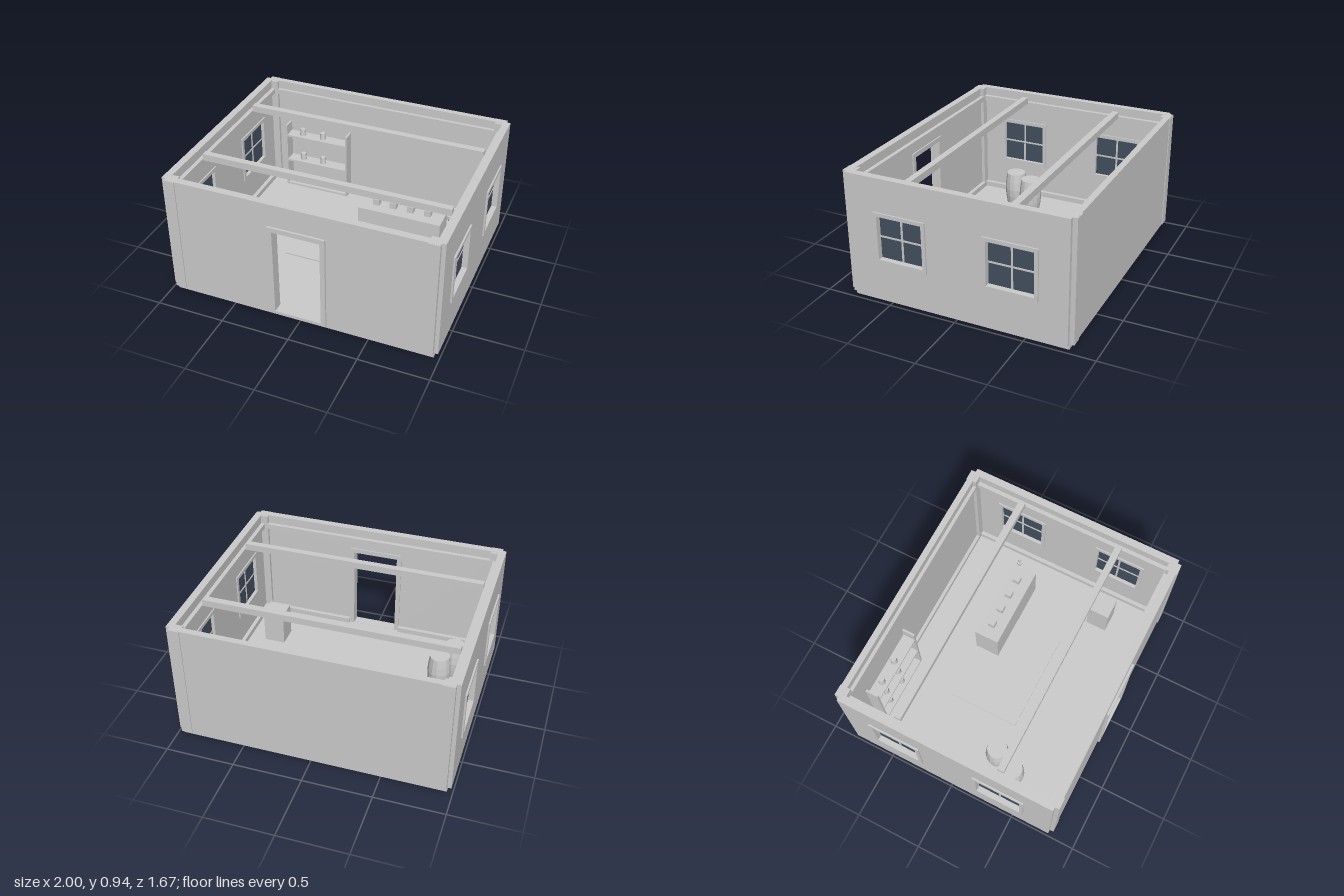
import * as THREE from 'three';

export function createModel() {
  const root = new THREE.Group();
  const plaster = new THREE.MeshStandardMaterial({ color: 0xcccccc });
  plaster.name = 'pale grey';
  const glass = new THREE.MeshStandardMaterial({ color: 0x445060 });
  glass.name = 'dark blue glass';

  const add = (name, geo, parent = root, mat = plaster) => {
    const mesh = new THREE.Mesh(geo, mat);
    mesh.name = name;
    parent.add(mesh);
    return mesh;
  };
  // box given by its limits on each axis
  const box = (name, x0, x1, y0, y1, z0, z1, parent, mat) => {
    const mesh = add(name, new THREE.BoxGeometry(x1 - x0, y1 - y0, z1 - z0), parent, mat);
    mesh.position.set((x0 + x1) / 2, (y0 + y1) / 2, (z0 + z1) / 2);
    return mesh;
  };
  const B = 0.04, T = 0.935, FLOOR = 0.06;

  // foundation and inner floor
  box('foundation', -0.96, 0.96, 0, B, -0.803, 0.795);
  box('floor', -0.935, 0.935, B, FLOOR, -0.785, 0.765);
  box('floorMat', -0.385, 0.38, FLOOR, 0.07, -0.33, 0.215);

  // back and front walls, with the doorway
  box('backWall', -0.96, 0.96, B, T, -0.83, -0.785);
  box('frontWallRight', -0.96, -0.17, B, T, 0.765, 0.818);
  box('frontWallLeft', 0.17, 0.96, B, T, 0.765, 0.818);
  box('doorHeaderWall', -0.17, 0.17, 0.73, T, 0.765, 0.818);
  box('doorLintel', -0.205, 0.205, 0.73, 0.765, 0.755, 0.834);
  box('doorThreshold', -0.205, 0.205, B, 0.062, 0.755, 0.834);
  for (const s of [-1, 1])
    box('doorJamb', s * 0.1875 - 0.0175, s * 0.1875 + 0.0175, 0.062, 0.73, 0.755, 0.834);

  // side walls built from panels around the windows
  const windows = [[-0.573, -0.238], [0.227, 0.562]];
  const y0 = 0.342, y1 = 0.663, m = 0.027;
  for (const s of [-1, 1]) {
    const side = new THREE.Group();
    side.name = s > 0 ? 'leftWall' : 'rightWall';
    root.add(side);
    // s mirrors the x limits
    const sb = (name, xa, xb, ya, yb, za, zb, mat) =>
      box(name, Math.min(s * xa, s * xb), Math.max(s * xa, s * xb), ya, yb, za, zb, side, mat);
    for (const [a, b] of [[-0.803, -0.573], [-0.238, 0.227], [0.562, 0.795]])
      sb('wallPanel', 0.935, 0.988, B, T, a, b);
    for (const [a, b] of windows) {
      const c = (a + b) / 2, mid = (y0 + y1) / 2;
      sb('panelBelowWindow', 0.935, 0.988, B, y0, a, b);
      sb('panelAboveWindow', 0.935, 0.988, y1, T, a, b);
      sb('windowPane', 0.951, 0.959, y0, y1, a, b, glass);
      sb('windowMullion', 0.946, 0.964, y0, y1, c - 0.007, c + 0.007);
      sb('windowCrossbar', 0.946, 0.964, mid - 0.006, mid + 0.006, a, b);
      sb('windowSill', 0.925, 1, y0 - m, y0, a - m, b + m);
      sb('windowHead', 0.925, 1, y1, y1 + m, a - m, b + m);
      sb('windowSideTrim', 0.925, 1, y0, y1, a - m, a);
      sb('windowSideTrim', 0.925, 1, y0, y1, b, b + m);
    }
    // corner posts
    sb('backCornerPost', 0.88, 0.96, B, T - 0.002, -0.836, -0.76);
    sb('frontCornerPost', 0.88, 0.96, B, T - 0.002, 0.74, 0.825);
    // wall plate and skirting along the side
    sb('sideWallPlate', 0.905, 0.935, 0.83, 0.87, -0.785, 0.765);
    sb('sideSkirting', 0.905, 0.935, FLOOR, 0.1, -0.785, 0.765);
  }
  for (const [a, b] of [[-0.785, -0.76], [0.735, 0.765]]) {
    box('wallPlate', -0.905, 0.905, 0.83, 0.87, a, b);
    if (a < 0) box('skirting', -0.905, 0.905, FLOOR, 0.1, a, b);
    else for (const s of [-1, 1])
      box('skirting', s > 0 ? 0.205 : -0.905, s > 0 ? 0.905 : -0.205, FLOOR, 0.1, a, b);
  }

  // ceiling beams
  for (const [a, b] of [[-0.42, -0.37], [0.35, 0.397]])
    box('ceilingBeam', -0.905, 0.905, 0.86, 0.91, a, b);

  // counter with small goods
  const counter = new THREE.Group();
  counter.name = 'counter';
  root.add(counter);
  box('counterBody', 0.048, 0.685, FLOOR, 0.355, -0.345, -0.157, counter);
  for (let i = 0; i < 4; i++) {
    const x = 0.162 + i * 0.134;
    box('counterItem', x - 0.025, x + 0.025, 0.355, 0.403, -0.283, -0.233, counter);
  }

  // shelf unit with jars
  const shelf = new THREE.Group();
  shelf.name = 'shelfUnit';
  root.add(shelf);
  box('shelfSide', -0.78, -0.765, FLOOR, 0.61, -0.76, -0.665, shelf);
  box('shelfSide', -0.265, -0.25, FLOOR, 0.61, -0.76, -0.665, shelf);
  for (let i = 0; i < 3; i++) {
    const y = 0.075 + i * 0.225;
    box('shelfBoard', -0.765, -0.265, y - 0.012, y + 0.003, -0.76, -0.665, shelf);
    for (const x of [-0.648, -0.475])
      add('shelfJar', new THREE.CylinderGeometry(0.02, 0.025, 0.055, 12), shelf)
        .position.set(x, y + 0.03, -0.715);
  }

  // barrels with bulging staves
  const stave = [[0, 0], [0.072, 0], [0.083, 0.07], [0.087, 0.13], [0.083, 0.19], [0.074, 0.26], [0, 0.26]];
  const barrel = new THREE.LatheGeometry(stave.map(p => new THREE.Vector2(...p)), 14).toNonIndexed();
  barrel.computeVertexNormals();
  for (const [x, z] of [[-0.66, 0.212], [-0.738, 0.375]])
    add('barrel', barrel).position.set(x, FLOOR, z);

  // crate and slim stand
  box('crate', 0.62, 0.78, FLOOR, 0.32, 0.325, 0.485);
  const stand = [[0, 0], [0.04, 0], [0.04, 0.02], [0.012, 0.04], [0.012, 0.24], [0.022, 0.27], [0.022, 0.29], [0.008, 0.29], [0.008, 0.32], [0, 0.32]];
  const standGeo = new THREE.LatheGeometry(stand.map(p => new THREE.Vector2(...p)), 12).toNonIndexed();
  standGeo.computeVertexNormals();
  add('candleStand', standGeo).position.set(0.718, FLOOR, -0.315);

  return root;
}
